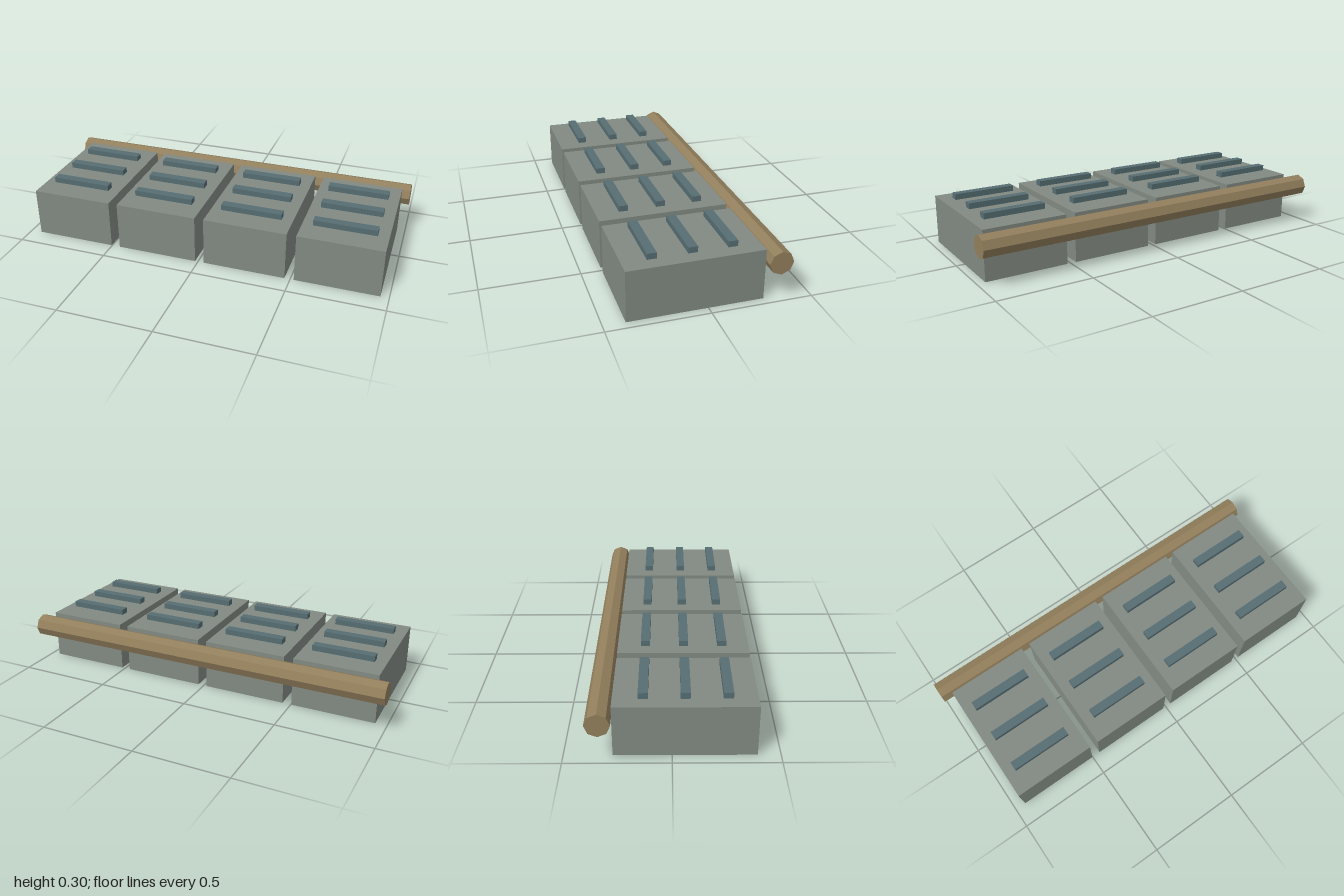
import * as THREE from 'three';

export function createModel() {
  const mat = (name, color) => {
    const m = new THREE.MeshStandardMaterial({ color, flatShading: true });
    m.name = name;
    return m;
  };
  const stone = mat('grey green', 0x828a82);
  const slate = mat('slate blue', 0x566e73);
  const tan = mat('tan', 0x927f5c);

  const model = new THREE.Group();
  model.name = 'blockRow';

  const add = (parent, name, geometry, material, x, y, z) => {
    const mesh = new THREE.Mesh(geometry, material);
    mesh.name = name;
    mesh.position.set(x, y, z);
    parent.add(mesh);
    return mesh;
  };

  const blockGeo = new THREE.BoxGeometry(0.438, 0.261, 0.666);
  const slatGeo = new THREE.BoxGeometry(0.324, 0.03, 0.046);

  // Four blocks, each with three slats floating just above its top
  for (let i = 0; i < 4; i++) {
    const unit = new THREE.Group();
    unit.name = `unit${i + 1}`;
    unit.position.x = -0.722 + i * 0.4865;
    add(unit, 'block', blockGeo, stone, 0, 0.1305, 0.06);
    for (let j = 0; j < 3; j++) {
      add(unit, 'slat', slatGeo, slate, 0, 0.284, 0.255 - j * 0.1935);
    }
    model.add(unit);
  }

  // Eight-sided rail along the back
  const railGeo = new THREE.CylinderGeometry(0.0595, 0.0595, 2, 8).rotateZ(Math.PI / 2);
  add(model, 'backRail', railGeo, tan, 0, 0.204, -0.3325);

  return model;
}
